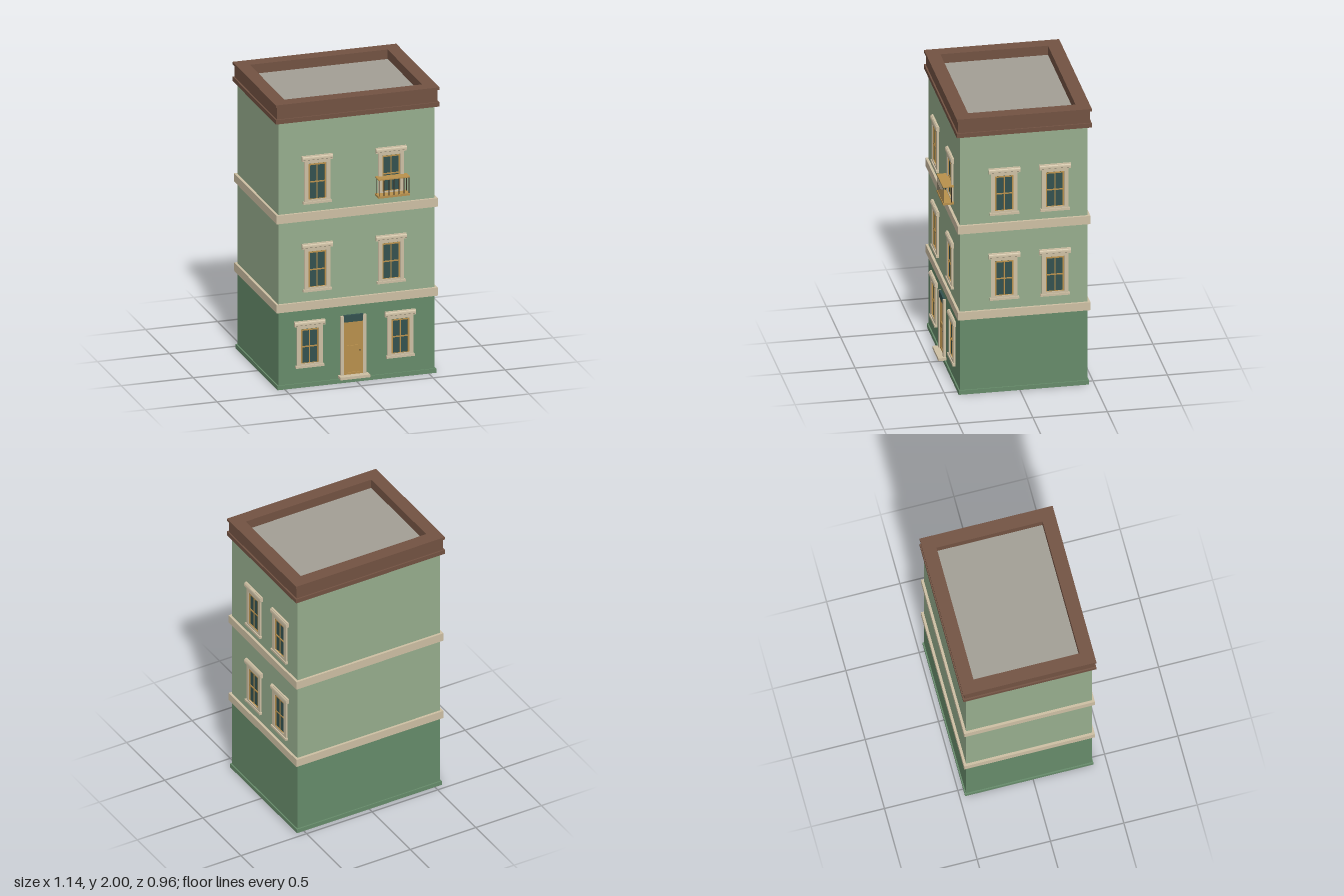
import * as THREE from 'three';

const mat = (color) => new THREE.MeshStandardMaterial({ color, roughness: 0.9 });
const M = {
  upper: mat(0x96ad8d), ground: mat(0x668b6a), cream: mat(0xcdbfa3), brown: mat(0x725242),
  roof: mat(0xa29e95), gold: mat(0xb8904c), glass: mat(0x33514f), iron: mat(0x3a3226),
};
const CZ = -0.0265;            // centre of the building in z
const HX = 0.543, HZ = 0.4285; // half width and half depth of the walls
const FRONT = CZ + HZ;

function add(parent, name, geometry, material, x = 0, y = 0, z = 0) {
  const mesh = new THREE.Mesh(geometry, material);
  mesh.name = name;
  mesh.position.set(x, y, z);
  parent.add(mesh);
  return mesh;
}

// Box given by its x centre, width, y range and z range
function box(parent, name, material, x, w, y0, y1, z0, z1) {
  return add(parent, name, new THREE.BoxGeometry(w, y1 - y0, z1 - z0), material, x, (y0 + y1) / 2, (z0 + z1) / 2);
}

// Block around the building, standing out by a margin
function course(parent, name, material, margin, y0, y1) {
  return box(parent, name, material, 0, 2 * (HX + margin), y0, y1, CZ - HZ - margin, CZ + HZ + margin);
}

// Rectangular frame: outer and inner sizes, extruded along z
function frame(w, h, iw, ih, depth) {
  const rect = (C, a, b) => new C([[-a, -b], [a, -b], [a, b], [-a, b]].map(([x, y]) => new THREE.Vector2(x / 2, y / 2)));
  const shape = rect(THREE.Shape, w, h);
  shape.holes.push(rect(THREE.Path, iw, ih));
  return new THREE.ExtrudeGeometry(shape, { depth, bevelEnabled: false });
}

// Lintel with a rounded upper front, swept along x
function lintelGeometry(width, height, depth) {
  const s = new THREE.Shape();
  s.moveTo(0, 0);
  s.lineTo(depth * 0.75, 0);
  s.lineTo(depth * 0.75, height * 0.2);
  s.lineTo(depth, height * 0.3);
  s.quadraticCurveTo(depth, height * 0.85, depth * 0.65, height * 0.9);
  s.lineTo(depth * 0.65, height);
  s.lineTo(0, height);
  const g = new THREE.ExtrudeGeometry(s, { depth: width, bevelEnabled: false, curveSegments: 6 });
  return g.translate(0, 0, -width / 2).rotateY(-Math.PI / 2);
}

// Window standing on y = 0 against a wall at z = 0, facing +z
function makeWindow(height) {
  const g = new THREE.Group();
  g.name = 'window';
  const top = height - 0.034, y0 = 0.024, y1 = height - 0.057;
  const mid = (y0 + y1) / 2, oh = y1 - y0, ow = 0.124;
  const casing = frame(0.178, top - 0.012, ow, oh, 0.013);
  add(g, 'casing', casing, M.cream, 0, (top + 0.012) / 2, 0);
  const lintel = lintelGeometry(0.212, 0.036, 0.021);
  lintel.rotateY(Math.PI); // profile depth now along z
  lintel.computeBoundingBox();
  if (lintel.boundingBox.max.z < 0.001) lintel.rotateY(Math.PI);
  add(g, 'lintel', lintel, M.cream, 0, top, 0);
  box(g, 'sill', M.cream, 0, 0.196, 0, 0.016, 0, 0.02);
  box(g, 'glass', M.glass, 0, ow, y0, y1, 0, 0.003);
  add(g, 'sash', frame(ow, oh, ow - 0.02, oh - 0.016, 0.009), M.gold, 0, mid, 0);
  box(g, 'mullion', M.gold, 0, 0.007, y0, y1, 0, 0.007);
  box(g, 'meetingRail', M.gold, 0, ow, mid - 0.004, mid + 0.004, 0, 0.008);
  return g;
}

function makeDoor() {
  const g = new THREE.Group();
  g.name = 'door';
  box(g, 'doorstep', M.cream, 0, 0.206, 0.037, 0.056, 0, 0.054);
  for (const s of [-1, 1]) box(g, 'jamb', M.cream, s * 0.077, 0.022, 0.056, 0.468, 0, 0.018);
  box(g, 'transom', M.glass, 0, 0.134, 0.424, 0.472, 0, 0.016);
  box(g, 'doorLeaf', M.gold, 0, 0.132, 0.056, 0.424, 0, 0.004);
  // Raised stiles and rails leave two sunken panels
  for (const s of [-1, 1]) box(g, 'stile', M.gold, s * 0.055, 0.022, 0.056, 0.424, 0, 0.01);
  for (const [a, b] of [[0.056, 0.07], [0.217, 0.257], [0.402, 0.424]]) box(g, 'rail', M.gold, 0, 0.09, a, b, 0, 0.01);
  add(g, 'knob', new THREE.SphereGeometry(0.005, 10, 8), M.iron, 0.045, 0.222, 0.014);
  return g;
}

function makeBalcony() {
  const g = new THREE.Group();
  g.name = 'balcony';
  const w = 0.218, d = 0.075;
  box(g, 'balconyFloor', M.gold, 0, w, 1.286, 1.301, 0, d);
  box(g, 'handrail', M.gold, 0, w, 1.411, 1.418, 0, d);
  const bar = new THREE.CylinderGeometry(0.003, 0.003, 0.112, 8);
  for (let i = 0; i < 7; i++) add(g, 'baluster', bar, M.iron, -0.103 + i * 0.206 / 6, 1.356, d - 0.006);
  for (const s of [-1, 1]) add(g, 'wallPost', bar, M.iron, s * 0.103, 1.356, 0.018);
  return g;
}

export function createModel() {
  const model = new THREE.Group();
  model.name = 'townhouse';

  // Walls, plinth and string courses
  course(model, 'groundFloor', M.ground, 0, 0, 0.57);
  course(model, 'plinth', M.ground, 0.009, 0, 0.03);
  course(model, 'upperFloors', M.upper, 0, 0.57, 1.88);
  course(model, 'lowerBand', M.cream, 0.017, 0.541, 0.598);
  course(model, 'upperBand', M.cream, 0.017, 1.164, 1.223);

  // Cornice rings around a sunken roof
  for (const [margin, y0, y1] of [[0.025, 1.866, 1.897], [0.015, 1.897, 1.982], [0.025, 1.982, 2]]) {
    const ring = frame(2 * (HX + margin), 2 * (HZ + margin), 0.956, 0.722, y1 - y0);
    add(model, 'cornice', ring.rotateX(-Math.PI / 2), M.brown, 0, y0, CZ);
  }
  box(model, 'roof', M.roof, 0, 0.956, 1.87, 1.934, CZ - 0.361, CZ + 0.361);

  // Front windows: x, bottom, height
  const front = [[-0.327, 0.139, 0.323], [0.302, 0.139, 0.323]];
  for (const y of [0.667, 1.281]) front.push([-0.275, y, 0.333], [0.238, y, 0.333]);
  for (const [x, y, h] of front) {
    const win = makeWindow(h);
    win.position.set(x, y, FRONT);
    model.add(win);
  }

  // Windows of the +x side
  for (const y of [0.667, 1.281]) for (const z of [0.105, -0.235]) {
    const win = makeWindow(0.333);
    win.position.set(HX, y, z);
    win.rotation.y = Math.PI / 2;
    model.add(win);
  }

  const door = makeDoor();
  door.position.set(-0.025, 0, FRONT);
  const balcony = makeBalcony();
  balcony.position.set(0.238, 0, FRONT);
  model.add(door, balcony);
  return model;
}
